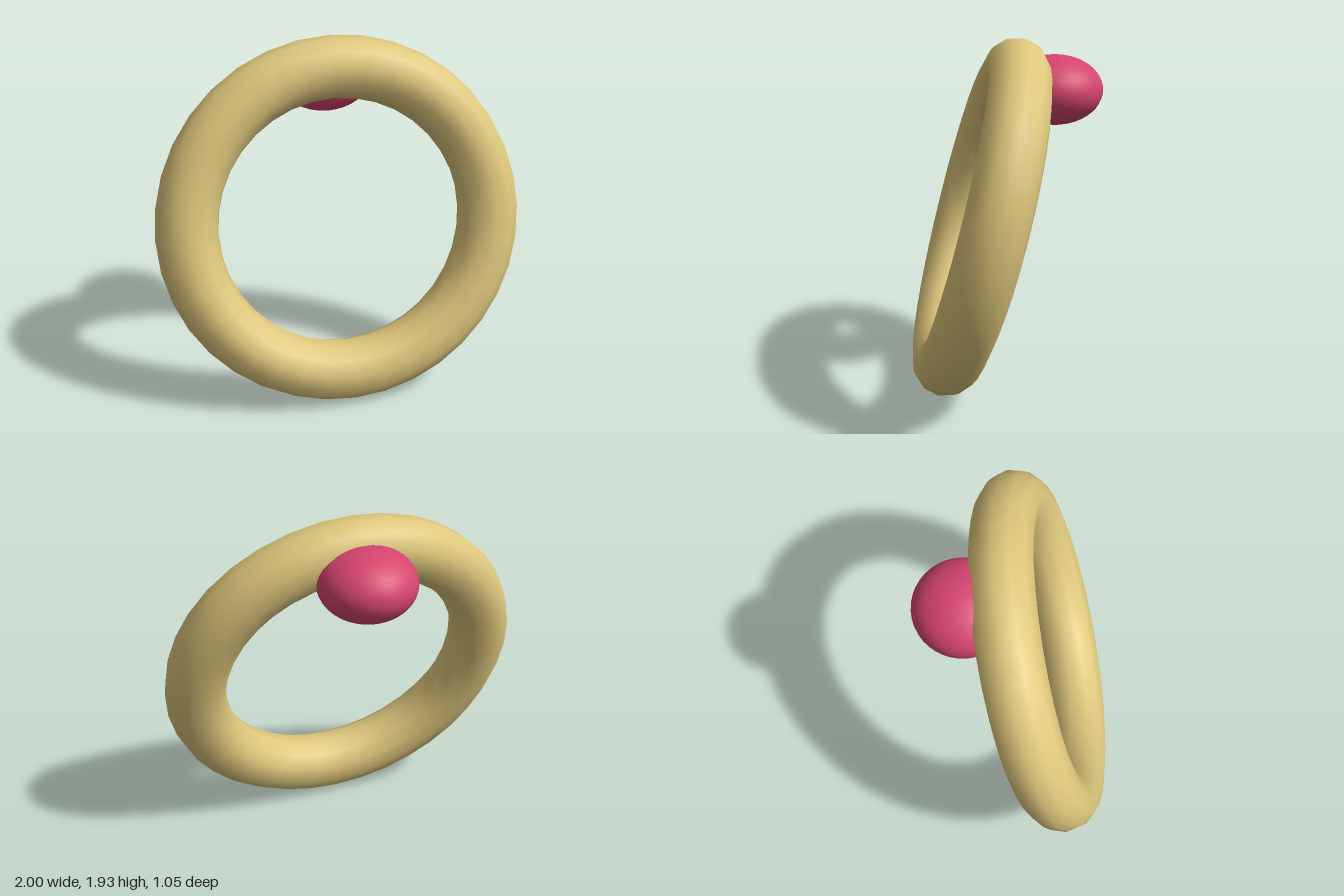
import * as THREE from 'three';

export function createModel() {
  const group = new THREE.Group();
  const gold = new THREE.MeshStandardMaterial({ name: 'gold', color: 0xdec77c });
  const pink = new THREE.MeshStandardMaterial({ name: 'pink', color: 0xd6456f });

  // Ring band, leaning back
  const ring = new THREE.Mesh(new THREE.TorusGeometry(0.833, 0.167, 12, 36), gold);
  ring.name = 'ringBand';
  ring.rotation.x = -Math.PI / 12;
  ring.position.set(0, 0.967, 0.146);
  group.add(ring);

  // Flattened gem set into the back of the band
  const gem = new THREE.Mesh(new THREE.SphereGeometry(0.26, 40, 24), pink);
  gem.name = 'gem';
  gem.scale.y = 0.72;
  gem.position.set(0, 1.662, -0.266);
  group.add(gem);

  return group;
}
